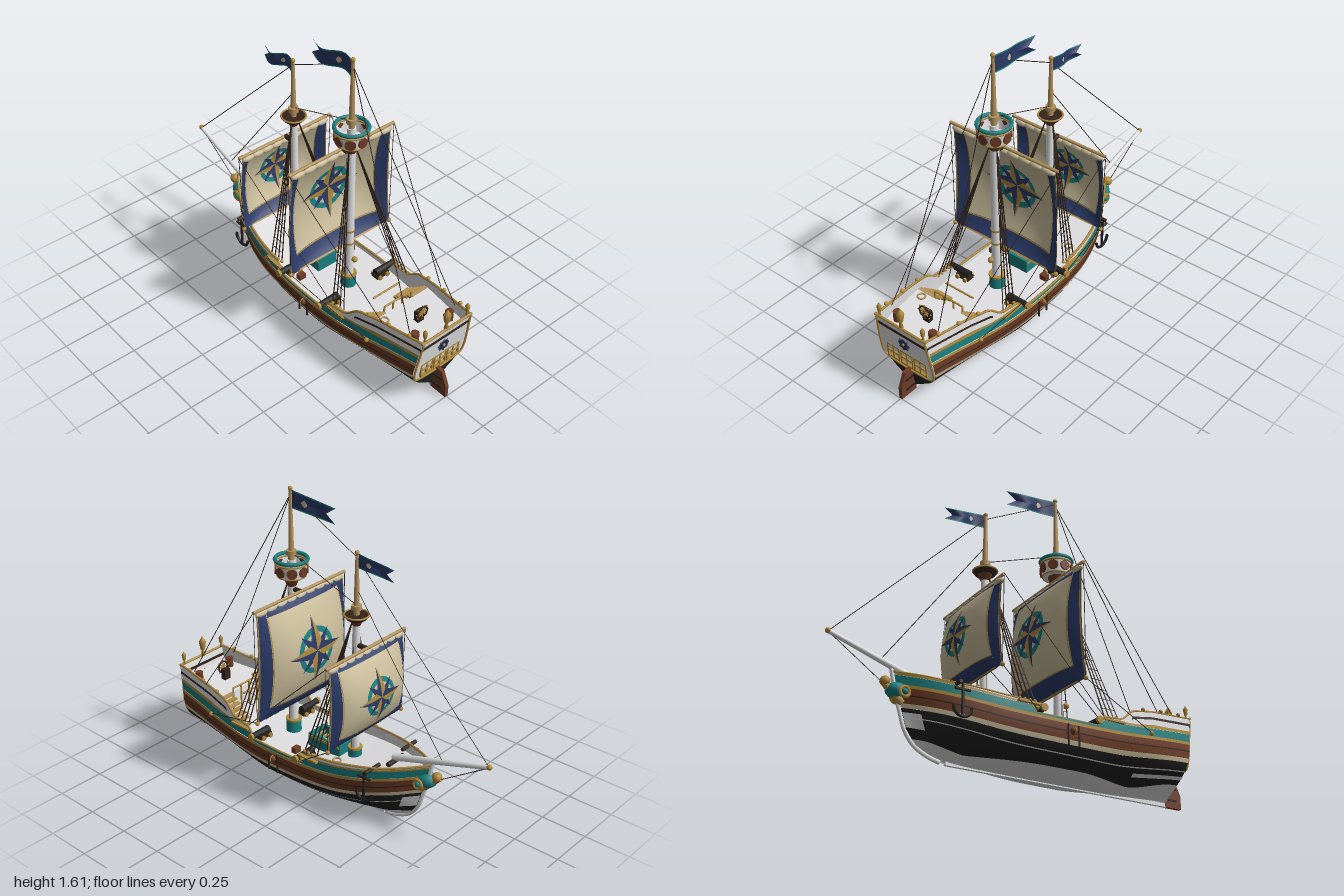
import * as THREE from 'three';

const paint = (name, color) => new THREE.MeshStandardMaterial({ name, color, side: THREE.DoubleSide });
const white = paint('white', 0xe2e2e4), cream = paint('canvas', 0xcabd9b), navy = paint('navy', 0x2b3b69);
const teal = paint('teal', 0x1a7f80), gold = paint('gold', 0xb08a3c), tan = paint('tan wood', 0xb4935c);
const brown = paint('red brown', 0x6e3c26), dark = paint('dark wood', 0x33241b), black = paint('black', 0x222222);
const V = (x, y, z) => new THREE.Vector3(x, y, z), flip = (p, k) => V(p.x * k, p.y, p.z), PI = Math.PI;
const { lerp, clamp, smoothstep } = THREE.MathUtils;
const curve = (pts, Kind = THREE.LinearInterpolant) => {
  const f = new Kind(pts.map(p => p[0]), pts.map(p => p[1]), 1);
  return x => f.evaluate(x)[0];
};

// Hull lines: beam along the length, stem rake, wale, rail and deck heights
const beam = curve([[0, .175], [.1, .195], [.2, .214], [.35, .234], [.5, .238], [.65, .225], [.75, .205], [.85, .16], [.93, .095], [1, .01]], THREE.CubicInterpolant);
const stem = curve([[0, -.36], [.03, -.46], [.07, -.53], [.14, -.58], [.22, -.605], [.3, -.63], [.44, -.66]]);
const wale = curve([[-.65, .335], [-.4, .28], [-.2, .248], [.1, .235], [.45, .24], [.88, .285], [.96, .292]], THREE.CubicInterpolant);
const rail = curve([[-.66, .41], [-.45, .36], [-.2, .325], [-.03, .31], [-.015, .258], [.35, .258], [.37, .312], [.5, .325], [.57, .388], [.7, .415], [.96, .44]]);
const deckY = curve([[-.65, .36], [-.45, .31], [-.2, .265], [0, .238], [.65, .238]]);
const uAt = z => (.96 - z) / 1.6, zAt = u => .96 - 1.6 * u;
function hullPoint(u, y, out = 0) {
  const t = clamp((y - .005) / .225, 0, 1);
  const q = u < .5 ? lerp(1.8, .5, smoothstep(u, 0, .45)) : lerp(.5, 1, smoothstep(u, .6, 1));
  const x = beam(u) * (1 - (1 - t) ** 2.5) ** q * (1 - .45 * Math.max(0, y - .26));
  return V(Math.max(0, x + out), y, lerp(.9 + .15 * y, stem(y), u));
}

// Grid surface from a rule p(s, t), both running 0 to 1
function surface(p, ns, nt) {
  const g = new THREE.PlaneGeometry(1, 1, ns, nt), uv = g.attributes.uv;
  for (let i = 0; i < uv.count; i++) g.attributes.position.setXYZ(i, ...p(uv.getX(i), uv.getY(i)).toArray());
  g.computeVertexNormals();
  return g;
}

export function createModel() {
  const ship = new THREE.Group();
  ship.name = 'sailingShip';
  const add = (name, geo, mat, x = 0, y = 0, z = 0) => {
    const m = new THREE.Mesh(geo, mat);
    m.name = name;
    m.position.set(x, y, z);
    ship.add(m);
    return m;
  };
  const box = (name, w, h, d, mat, x, y, z) => add(name, new THREE.BoxGeometry(w, h, d), mat, x, y, z);
  const cyl = (name, r1, r2, h, mat, x, y, z, n = 16) => add(name, new THREE.CylinderGeometry(r1, r2, h, n), mat, x, y, z);
  const ball = (name, r, mat, x, y, z) => add(name, new THREE.SphereGeometry(r, 12, 8), mat, x, y, z);
  const ring = (name, r, t, mat, x, y, z) => add(name, new THREE.TorusGeometry(r, t, 6, 24), mat, x, y, z);
  const rod = (name, a, b, r, mat, r2 = r, n = 8) => {
    const m = cyl(name, r2, r, a.distanceTo(b), mat, (a.x + b.x) / 2, (a.y + b.y) / 2, (a.z + b.z) / 2, n);
    m.quaternion.setFromUnitVectors(V(0, 1, 0), b.clone().sub(a).normalize());
  };
  const rope = (a, b, r = .0022) => rod('rope', a, b, r, dark, r, 4);
  const tube = (name, pts, r, mat, n) => add(name, new THREE.TubeGeometry(new THREE.CatmullRomCurve3(pts), n, r, 6), mat);

  // Hull planking in coloured bands, mirrored
  const strake = (name, mat, lo, hi, out = 0, zA = .96, zB = -.64, rows = 2) => {
    for (const k of [1, -1]) add(name, surface((s, t) => {
      const u = lerp(uAt(zA), uAt(zB), s), z = zAt(u);
      return flip(hullPoint(u, lerp(Math.min(lo(z), rail(z)), Math.min(hi(z), rail(z)), t), out), k);
    }, 64, rows), mat);
  };
  const w = d => z => wale(z) + d, r = d => z => rail(z) - d;
  const keelLine = z => .042 + .05 * smoothstep(z, .6, .96) + .05 * smoothstep(-z, .42, .64);
  strake('hullBottom', white, () => .005, keelLine, 0, .96, -.64, 8);
  strake('lowerHull', black, keelLine, w(-.1), 0, .96, -.64, 6);
  strake('sidePlanks', brown, w(-.078), w(0), .002, .96, -.64, 3);
  for (const [name, mat, lo, hi, out, zA, zB] of [
    ['lowerStripe', cream, w(-.1), w(-.078), .002], ['waleTrim', gold, w(-.004), w(.012), .006],
    ['upperBand', teal, w(.012), w(.055), .002], ['upperTrim', gold, w(.055), w(.066), .005],
    ['bulwark', white, w(.066), r(0)], ['bulwarkLining', white, w(-.02), r(0), -.012],
    ['plankSeam', dark, w(-.044), w(-.037), .006], ['lowerSeam', white, w(-.146), w(-.141), .003],
    ['sternSeam', white, w(-.18), w(-.166), .003, .96, .62], ['bowSeam', white, w(-.19), w(-.12), .003, -.57, -.64],
    ['quarterStripe', dark, r(.045), r(.032), .004, .96, .56], ['quarterTrim', gold, r(.085), r(.075), .004, .96, .6],
  ]) strake(name, mat, lo, hi, out, zA, zB);
  for (const k of [1, -1]) {
    tube('rail', Array.from({ length: 65 }, (_, i) => flip(hullPoint(i / 64, rail(zAt(i / 64)), -.004), k)), .0065, gold, 128);
    for (const z of [.88, .76, .64]) ball('railKnob', .011, gold, ...flip(hullPoint(uAt(z), rail(z) + .01), k).toArray());
  }

  // Decks, the break between them, rails and stairs
  const across = (name, mat, fn, ns, nt, dz = 0) => add(name, surface((s, t) => flip(fn(t), 2 * s - 1).add(V(0, 0, dz)), ns, nt), mat);
  across('mainDeck', white, t => hullPoint(lerp(uAt(.65), 1, t), deckY(zAt(lerp(uAt(.65), 1, t))), -.008), 2, 40);
  across('quarterdeck', white, t => hullPoint(lerp(0, uAt(.65), t), .36, -.008), 2, 12);
  across('bulkhead', white, t => hullPoint(uAt(.65), lerp(.236, .36, t), -.008), 2, 2);
  for (const z of [.63, .55]) rod('deckRail', V(-.09, .39, z), V(.09, .39, z), .005, gold);
  for (const x of [-.09, -.03, .03, .09]) rod('railPost', V(x, .24, .63), V(x, .39, .63), .005, gold);
  for (const k of [1, -1]) for (let i = 0; i < 6; i++) box('stairStep', .1, .012, .022, i % 2 ? tan : gold, k * .14, .26 + i * .019, .52 + i * .023);

  // Stern: transom, frame, windows, rosette, rudder, lanterns
  across('transom', white, t => hullPoint(0, lerp(.15, .44, t)), 8, 12, .001);
  across('lowerTransom', black, t => hullPoint(0, lerp(.005, .15, t)), 4, 8);
  const edge = [.16, .2, .25, .31, .37, .43].map(y => hullPoint(0, y, -.006).add(V(0, 0, .004)));
  tube('transomFrame', [...[...edge].reverse(), ...edge.map(p => flip(p, -1))], .006, gold, 60);
  rod('sternRail', V(-.165, .44, .967), V(.165, .44, .967), .007, gold);
  box('sternStripe', .33, .014, .008, dark, 0, .392, .96);
  for (let i = -1; i <= 1; i++) for (const d of [-.037, 0, .037]) {
    box('windowBar', .008, .085, .012, gold, i * .088 + d, .215, .935);
    box('windowBar', .083, .008, .012, gold, i * .088, .215 + d, .935);
  }
  cyl('rosette', .029, .029, .008, navy, 0, .325, .951).rotation.x = PI / 2;
  ring('rosetteRing', .019, .003, black, 0, .325, .955);
  ball('rosetteCentre', .008, gold, 0, .325, .954);
  for (let i = 0; i < 8; i++) ball('rosettePetal', .006, navy, .031 * Math.cos(i * PI / 4), .325 + .031 * Math.sin(i * PI / 4), .951);
  const blade = new THREE.Shape([[.9, 0], [1, 0], [1, .07], [.965, .15], [.92, .155], [.9, .13]].map(p => new THREE.Vector2(...p)));
  add('rudder', new THREE.ExtrudeGeometry(blade, { depth: .02, bevelEnabled: false }), brown, .01).rotation.y = -PI / 2;
  for (const y of [.04, .1]) box('rudderStrap', .026, .01, .07, black, 0, y, .935);
  box('keel', .016, .02, 1.28, white, 0, .01, .27);
  tube('stemPost', [.01, .03, .07, .14, .22, .3, .38, .42].map(y => V(0, y, stem(y) - .004)), .011, white, 30);
  const lamp = [[0, 0], [.012, 0], [.007, .03], [.014, .045], [.02, .085], [.012, .1], [.006, .108], [0, .122]];
  for (const [x, s] of [[0, 1], [.14, .65], [-.14, .65]])
    add('lantern', new THREE.LatheGeometry(lamp.map(p => new THREE.Vector2(p[0] * s, p[1] * s)), 12), gold, x, .44, .96);

  // Masts, crow's nest and fore top
  for (const [z, rad, yTop, tip] of [[.265, .026, 1.225, 1.6], [-.165, .023, 1.06, 1.385]]) {
    cyl('lowerMast', rad * .85, rad, yTop - .22, white, 0, (yTop + .22) / 2, z);
    cyl('topMast', .008, .016, tip - yTop, tan, 0, (tip + yTop) / 2, z, 12);
    ball('mastBall', .012, gold, 0, tip, z);
    for (const y of [.52, .6]) cyl('mastBand', rad * 1.08, rad * 1.08, .01, gold, 0, y, z);
    cyl('mastCap', .026, .026, .025, tan, 0, yTop + .04, z);
    cyl('mastCollar', rad * 1.5, rad * 1.6, .07, teal, 0, .275, z);
    cyl('mastCollarTrim', rad * 1.65, rad * 1.65, .01, gold, 0, .31, z);
    for (const k of [1, -1]) rope(V(k * rad, yTop - .17, z), V(k * rad * 1.2, .3, z));
  }
  ball('bell', .016, gold, 0, .43, .31);
  add('crowsNest', new THREE.CylinderGeometry(.084, .072, .09, 24, 1, true), white, 0, 1.185, .265);
  cyl('nestFloor', .073, .07, .012, white, 0, 1.146, .265, 24);
  cyl('nestBracket', .046, .025, .055, brown, 0, 1.113, .265, 8);
  for (const [y, t, mat] of [[1.23, .01, teal], [1.212, .005, gold], [1.143, .004, gold]]) ring('nestRim', y > 1.2 ? .083 : .073, t, mat, 0, y, .265).rotation.x = PI / 2;
  for (let i = 0; i < 8; i++) cyl('nestShield', .027, .027, .008, brown, .081 * Math.sin(i * PI / 4), 1.178, .265 + .081 * Math.cos(i * PI / 4)).rotation.set(PI / 2, 0, -i * PI / 4);
  cyl('foreTop', .064, .05, .022, dark, 0, 1.05, -.165, 20);
  cyl('foreTopBracket', .04, .022, .035, brown, 0, 1.023, -.165, 8);
  ring('foreTopRim', .062, .005, gold, 0, 1.06, -.165).rotation.x = PI / 2;

  // Sails: bulging cloth with border, piping and compass emblem
  const sail = ({ z, y0, y1, wTop, wBot, bulge, yard, ey, es }) => {
    const at = (x, y, off = 0) => {
      const v = clamp((y - y0) / (y1 - y0), 0, 1), s = Math.abs(x / lerp(wBot, wTop, v));
      return V(x, y, z - bulge * (.12 + .88 * (1 - s ** 3)) * Math.max(0, Math.sin(PI * v ** .95)) ** .8 + off);
    };
    const patch = (name, mat, a, b, c, d, off = 0) => add(name, surface((s, t) => {
      const v = lerp(c, d, t);
      return at(lerp(a, b, s) * lerp(wBot, wTop, v), lerp(y0, y1, v), off);
    }, Math.max(4, Math.ceil((b - a) * 16)), Math.max(2, Math.ceil((d - c) * 26))), mat);
    patch('sailCloth', cream, -.82, .82, .13, 1);
    for (const [a, b, c, d, off] of [[-1, -.82, 0, 1], [.82, 1, 0, 1], [-.82, .82, 0, .13], [-.82, .82, .945, 1, -.005]]) patch('sailBorder', navy, a, b, c, d, off);
    for (const o of [.003, -.003]) {
      for (const [a, b, c] of [[-.82, -.805, .13], [.805, .82, .13], [-1, -.985, 0], [.985, 1, 0]]) patch('sailPiping', gold, a, b, c, c ? .94 : 1, o);
      for (const v of [0, .122]) patch('sailPiping', gold, -.82, .82, v, v + .01, o);
      const arm = (a, len, wid, s0, s1, mat, off) => add('compassPoint', surface((s, t) => {
        const d = len * es * t, h = wid * es * Math.min(t / .25, (1 - t) / .75) * lerp(s0, s1, s);
        return at(d * Math.cos(a) - h * Math.sin(a), ey + d * Math.sin(a) + h * Math.cos(a), off * o);
      }, 2, 12), mat);
      add('compassRing', surface((s, t) => at(es * lerp(.094, .124, t) * Math.cos(s * PI * 2), ey + es * lerp(.094, .124, t) * Math.sin(s * PI * 2), o), 40, 2), teal);
      for (let i = 0; i < 4; i++) {
        arm((i + .5) * PI / 2, .14, .026, -1, 1, navy, 1.4);
        arm(i * PI / 2, .185, .038, 0, 1, gold, 1.8);
        arm(i * PI / 2, .185, .038, -1, 0, navy, 1.8);
      }
    }
    rod('yard', V(-yard, y1 + .013, z), V(yard, y1 + .013, z), .0085, tan);
    rod('yardSling', V(0, y1 + .013, z), V(0, y1 + .013, z + .06), .013, dark);
    for (const k of [1, -1]) rope(V(k * yard, y1, z), V(k * wBot, y0, z));
    for (let i = 0; i < 9; i++) ball('furledCanvas', 1, cream, (i - 4) * wTop * .22, y1 - .008, z + .002).scale.set(wTop * .14, .018, .017);
  };
  sail({ z: .205, y0: .445, y1: 1.055, wTop: .315, wBot: .33, bulge: .11, yard: .335, ey: .775, es: 1 });
  sail({ z: -.232, y0: .435, y1: .885, wTop: .275, wBot: .285, bulge: .098, yard: .298, ey: .665, es: .82 });

  // Swallow-tailed pennants streaming forward
  for (const [z, y, len, h] of [[.255, 1.547, .29, .095], [-.175, 1.345, .225, .075]]) {
    const at = (s, t, off = 0) => V(off + .014 * Math.sin(s * 7), y + (t - .5) * h * (1 - .15 * s) - .018 * s + .008 * Math.sin(s * 7), z - s * len * (1 - .2 * s * (1 - Math.abs(2 * t - 1))));
    for (const [mat, a, b] of [[teal, 0, .08], [navy, .08, .5], [navy, .5, .92], [teal, .92, 1]]) add('pennant', surface((s, t) => at(s, lerp(a, b, t)), 20, 4), mat);
    for (const o of [.003, -.003]) add('pennantBadge', surface((s, t) => at(.27 + .14 * s, .5 + (t - .5) * .38 * Math.sin(PI * s), o), 8, 2), cream);
  }

  // Bowsprit, figurehead and stays
  rod('bowsprit', V(0, .355, -.42), V(0, .535, -.985), .019, white, .011, 12);
  ball('bowspritTip', .014, gold, 0, .537, -.986);
  rod('beakhead', V(0, .26, -.6), V(0, .355, -.71), .028, gold, .014);
  ball('figurehead', .04, teal, 0, .315, -.63).scale.set(1.2, 1, 1.4);
  ball('figureheadBust', .026, gold, 0, .352, -.69);
  for (const [ya, za, yb, zb] of [[1.58, .265, 1.36, -.165], [1.265, .265, 1.11, -.165], [1.36, -.165, .54, -.98], [1.2, -.165, .45, -.72], [.53, -.98, .34, -.7]]) rope(V(0, ya, za), V(0, yb, zb));

  // Mirrored rigging and deck fittings
  for (const k of [1, -1]) {
    for (const [a, b, c, d, e, f] of [[0, 1.57, .265, .15, .43, .87], [.335, 1.07, .205, .195, .42, .73], [.3, .9, -.232, .22, .32, .38], [.33, .445, .205, .232, .285, .66], [.285, .435, -.232, .237, .27, -.01]]) rope(V(k * a, b, c), V(k * d, e, f));
    for (const [x, y, z] of [[.232, .28, .66], [.232, .28, -.01], [.33, .445, .205], [.285, .435, -.232]]) ball('block', .012, gold, k * x, y, z);
    for (const [zm, yTop, z0] of [[.275, 1.1, .39], [-.155, 1.02, -.095]]) { // shrouds and ratlines
      const top = V(k * .022, yTop, zm), low = [0, 1, 2, 3].map(i => V(k * .215, .315, z0 + i * .028));
      for (const p of low) rope(top, p, .0033), ball('deadeye', .009, gold, p.x, .32, p.z);
      for (let i = 1; i < 11; i++) rope(low[0].clone().lerp(top, i * .07), low[3].clone().lerp(top, i * .07), .0016);
      box('channel', .02, .01, .12, gold, k * .234, .3, z0 + .042);
    }
    for (const z of [.015, .33]) { // cannons on carriages
      rod('cannonBarrel', V(k * .13, .275, z), V(k * .26, .28, z), .021, black, .015, 12);
      rod('cannonMuzzle', V(k * .25, .28, z), V(k * .264, .28, z), .019, gold, .019, 12);
      box('carriage', .08, .022, .045, dark, k * .165, .254, z);
      for (const dx of [-.025, .025]) for (const dz of [-.028, .028]) cyl('carriageWheel', .013, .013, .01, gold, k * (.165 + dx), .252, z + dz, 10).rotation.x = PI / 2;
    }
    rod('cathead', V(k * .09, .345, -.4), V(k * .2, .345, -.4), .01, dark);
    rod('anchorShank', V(k * .19, .18, -.385), V(k * .19, .34, -.385), .007, black);
    rod('anchorStock', V(k * .19, .31, -.425), V(k * .19, .31, -.345), .007, dark);
    add('anchorArms', new THREE.TorusGeometry(.048, .008, 6, 16, PI), black, k * .19, .225, -.385).rotation.set(0, PI / 2, PI, 'YXZ');
    for (const z of [.22, .16]) rod('fender', V(k * .24, .125, z), V(k * .24, .235, z), .005, dark);
    ball('fenderBall', .02, brown, k * .24, .2, .19);
    ring('fenderHoop', .02, .003, gold, k * .24, .2, .19);
    cyl('barrel', .021, .021, .055, brown, k * .115, .387, .87);
    box('chest', .04, .03, .03, brown, k * .17, .265, .09);
    ring('ropeCoil', .02, .005, tan, k * .135, k < 0 ? .367 : .29, k < 0 ? .68 : -.16).rotation.x = PI / 2;
    ring('bowScroll', .024, .009, gold, k * .048, .3, -.61).rotation.y = PI / 2;
    ball('bowScrollEye', .016, teal, k * .048, .3, -.61);
    box('hatchSide', .014, .075, .2, teal, k * .055, .275, -.005);
    box('hatchEnd', .124, .075, .014, teal, 0, .275, -.005 + k * .1);
    box('hatchTrim', .004, .012, .21, gold, k * .064, .3, -.005);
  }

  // Hatch ladder, windlass, wheel
  for (let i = 0; i < 4; i++) box('hatchLadder', .07, .008, .012, tan, 0, .29 - i * .012, .075 - i * .022);
  rod('windlass', V(-.06, .34, -.43), V(.06, .34, -.43), .013, dark);
  box('wheelStand', .04, .06, .03, dark, 0, .39, .78);
  ring('wheel', .032, .005, dark, 0, .425, .8);
  for (let i = 0; i < 4; i++) box('wheelSpoke', .085, .005, .005, gold, 0, .425, .8).rotation.z = i * PI / 4;
  return ship;
}
